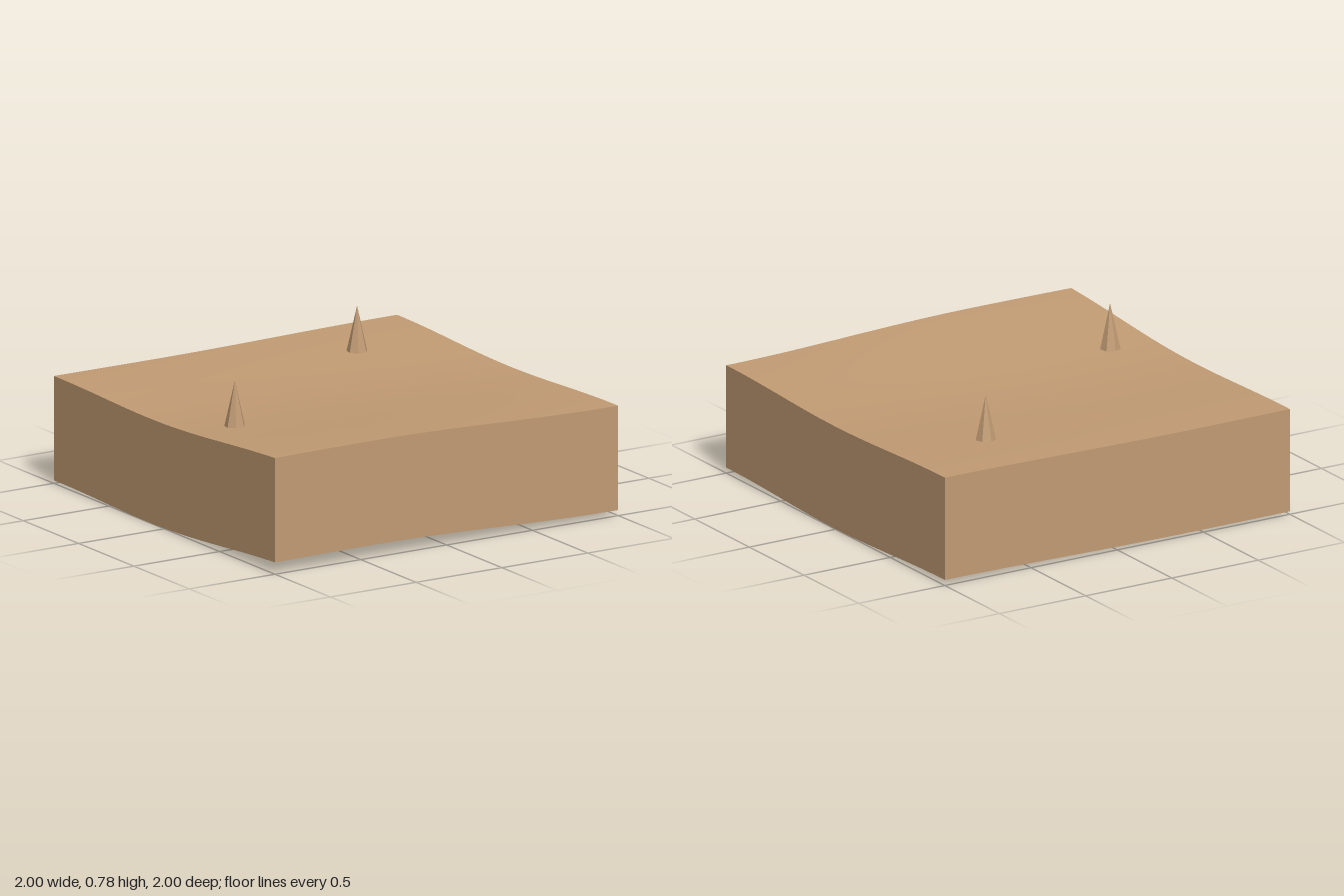
import * as THREE from 'three';

const THICKNESS = 0.53;

// Gentle rolling height of the lower rim; the ground lies THICKNESS above it
function rimHeight(x, z) {
  const u = x + 0.4;
  const swell = 0.5 + 0.5 * Math.cos(Math.PI * (u < 0 ? u * 0.5 : u) / 1.4);
  const valley = 0.0135 * (1 + Math.cos(Math.PI * z));
  return 0.03 + swell * (0.025 * z + 0.01 * z * z) - valley;
}

export function createModel() {
  const model = new THREE.Group();
  const earth = new THREE.MeshStandardMaterial({ color: 0xc29c74, side: THREE.DoubleSide });
  const spikeTan = new THREE.MeshStandardMaterial({ color: 0xc29c74, flatShading: true });
  spikeTan.name = 'spikeTan';
  earth.name = 'earthTan';

  const add = (name, geometry, material) => {
    const mesh = new THREE.Mesh(geometry, material);
    mesh.name = name;
    model.add(mesh);
    return mesh;
  };

  // Rolling ground surface
  const ground = new THREE.PlaneGeometry(2, 2, 32, 32).rotateX(-Math.PI / 2);
  const g = ground.attributes.position;
  for (let i = 0; i < g.count; i++) {
    g.setY(i, rimHeight(g.getX(i), g.getZ(i)) + THICKNESS);
  }
  ground.computeVertexNormals();
  add('ground', ground, earth);

  // Four side walls follow the ground; the underside is open
  ['frontWall', 'leftWall', 'backWall', 'rightWall'].forEach((name, k) => {
    const wall = new THREE.PlaneGeometry(2, 1, 32, 1)
      .translate(0, 0.5, 1)
      .rotateY(k * Math.PI / 2);
    const p = wall.attributes.position;
    for (let i = 0; i < p.count; i++) {
      p.setY(i, rimHeight(p.getX(i), p.getZ(i)) + p.getY(i) * THICKNESS);
    }
    add(name, wall, earth);
  });

  // Seven-sided spikes standing on the ground
  [[-0.75, 0.25], [0.5, -0.585]].forEach(([x, z], i) => {
    const base = rimHeight(x, z) + THICKNESS;
    const height = 0.777 - base;
    const spike = add('spike' + (i + 1), new THREE.ConeGeometry(0.052, height, 7), spikeTan);
    spike.position.set(x, base + height / 2, z);
    spike.rotation.y = Math.PI;
  });

  return model;
}
